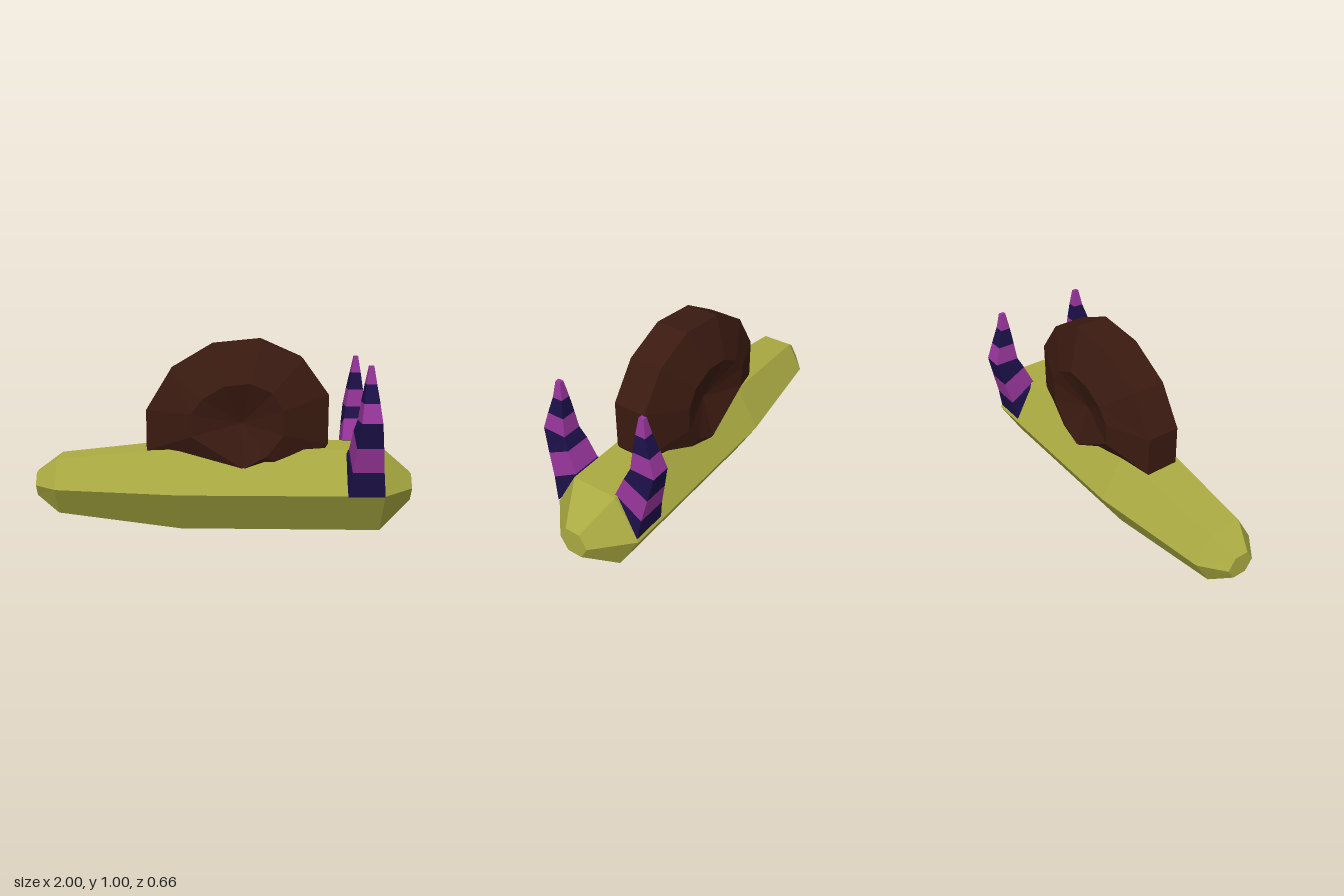
import * as THREE from 'three';

const V = (x, y, z) => new THREE.Vector3(x, y, z);

// Skins a list of equal-length point rings; each end closes in a fan around a cap point.
function loft(rings, startCap, endCap) {
  const tris = [];
  const n = rings[0].length;
  const mean = r => r.reduce((s, p) => s.add(p), V(0, 0, 0)).divideScalar(n);
  const a = startCap || mean(rings[0]);
  const b = endCap || mean(rings[rings.length - 1]);
  for (let i = 0; i < n; i++) {
    const j = (i + 1) % n;
    tris.push([a, rings[0][j], rings[0][i]]);
    for (let k = 0; k < rings.length - 1; k++) {
      const p = rings[k], q = rings[k + 1];
      tris.push([p[i], p[j], q[j]], [p[i], q[j], q[i]]);
    }
    const last = rings[rings.length - 1];
    tris.push([b, last[i], last[j]]);
  }
  // Turn the skin outward whichever way the rings run
  let volume = 0;
  for (const [p, q, r] of tris) volume += p.dot(q.clone().cross(r));
  const pts = tris.flatMap(([p, q, r]) => (volume < 0 ? [p, r, q] : [p, q, r]));
  const geo = new THREE.BufferGeometry().setFromPoints(pts);
  geo.computeVertexNormals();
  return geo;
}

function part(name, geo, color) {
  const mesh = new THREE.Mesh(geo, new THREE.MeshStandardMaterial({ color, flatShading: true }));
  mesh.name = name;
  return mesh;
}

const ZC = -0.009; // body and shell sit slightly behind centre

// Hexagonal body, tail to nose: x, bottom, middle, top, half width
function makeBody() {
  const sections = [
    [-1, 0.17, 0.232, 0.295, 0.075],
    [-0.88, 0.085, 0.232, 0.38, 0.17],
    [-0.23, 0.01, 0.225, 0.442, 0.25],
    [0.825, 0, 0.218, 0.437, 0.25],
    [1, 0.145, 0.217, 0.288, 0.083],
  ];
  const rings = sections.map(([x, lo, mid, hi, w]) => [
    V(x, mid, ZC + w), V(x, hi, ZC + w / 2), V(x, hi, ZC - w / 2),
    V(x, mid, ZC - w), V(x, lo, ZC - w / 2), V(x, lo, ZC + w / 2),
  ]);
  return part('body', loft(rings), 0xaaaa42);
}

// Shell: narrow outer rim, wide inner ring and a dimpled centre on each side
function makeShell() {
  const rim = [
    [-0.405, 0.64], [-0.28, 0.845], [-0.06, 0.975], [0.195, 1], [0.41, 0.905],
    [0.545, 0.72], [0.545, 0.46], [0.41, 0.25], [0.14, 0.25], [-0.405, 0.425],
  ];
  const inner = [
    [-0.17, 0.63], [-0.11, 0.71], [0, 0.775], [0.135, 0.79], [0.25, 0.74],
    [0.305, 0.65], [0.305, 0.52], [0.22, 0.41], [0.1, 0.345], [-0.17, 0.515],
  ];
  const at = (outline, z) => outline.map(([x, y]) => V(x, y, ZC + z));
  const rings = [at(inner, 0.178), at(rim, 0.088), at(rim, -0.088), at(inner, -0.178)];
  return part('shell', loft(rings, V(0.09, 0.575, ZC + 0.11), V(0.09, 0.575, ZC - 0.11)), 0x3a1a10);
}

// Banded square stalk: outer z, outer y, inner z, inner y, half width
function makeStalk(name, side) {
  const levels = [
    [0.248, 0.218, 0.11, 0.425, 0.095],
    [0.27, 0.35, 0.122, 0.44, 0.08],
    [0.3, 0.48, 0.169, 0.55, 0.067],
    [0.33, 0.612, 0.198, 0.612, 0.052],
    [0.301, 0.707, 0.207, 0.707, 0.04],
    [0.271, 0.8, 0.216, 0.8, 0.026],
    [0.256, 0.89, 0.228, 0.89, 0.011],
  ];
  const rings = levels.map(([zo, yo, zi, yi, w]) => [
    V(0.73 - w, yo, side * zo), V(0.73 + w, yo, side * zo),
    V(0.73 + w, yi, side * zi), V(0.73 - w, yi, side * zi),
  ]);
  const stalk = new THREE.Group();
  stalk.name = name;
  for (let i = 0; i < rings.length - 1; i++) {
    const color = i % 2 ? 0x963599 : 0x1c1048;
    stalk.add(part(`band${i + 1}`, loft([rings[i], rings[i + 1]]), color));
  }
  return stalk;
}

export function createModel() {
  const model = new THREE.Group();
  model.name = 'snail';
  model.add(makeBody(), makeShell(), makeStalk('frontStalk', 1), makeStalk('backStalk', -1));
  return model;
}
